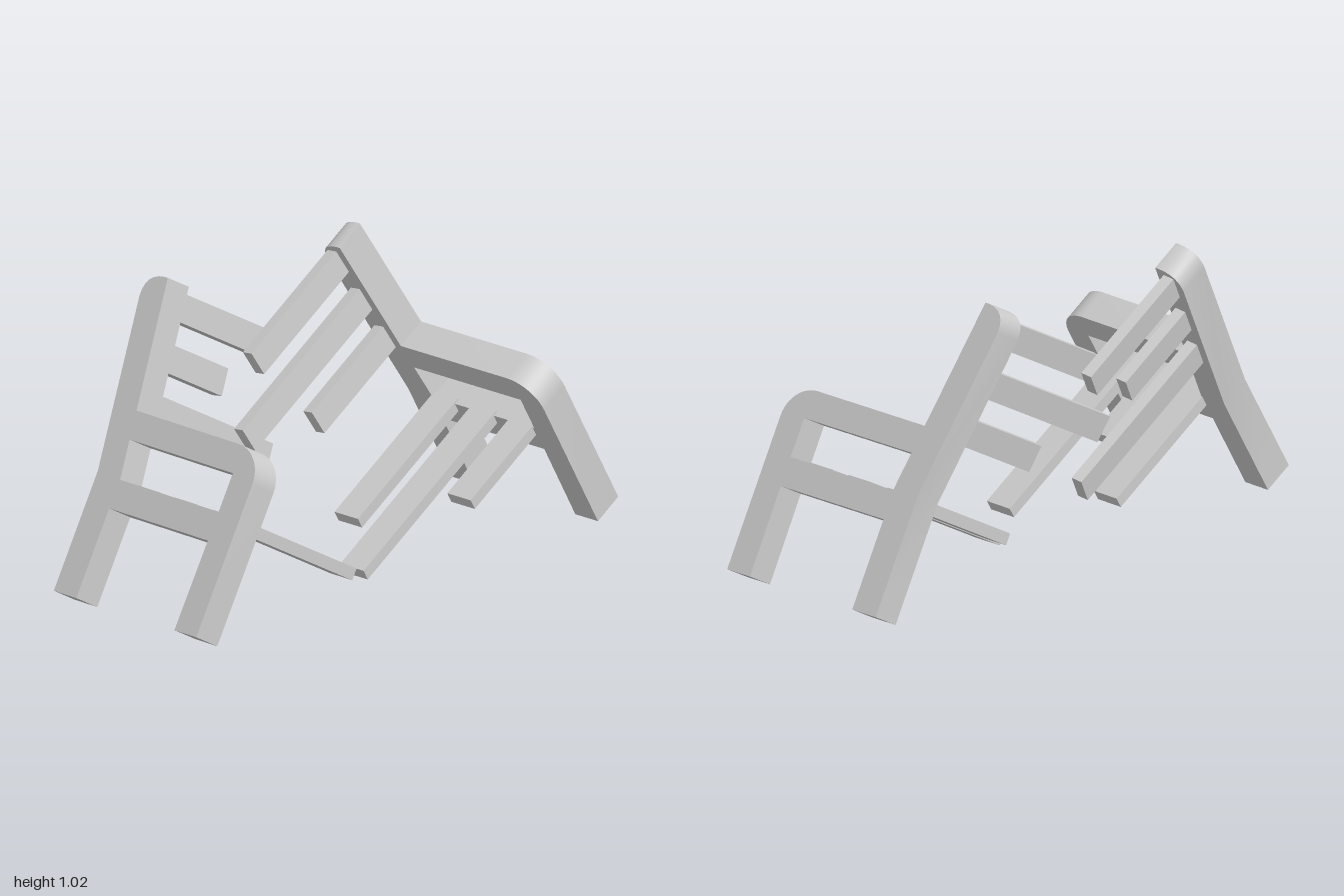
import * as THREE from 'three';
import { toCreasedNormals } from 'three/addons/utils/BufferGeometryUtils.js';

const DEPTH = 0.113;   // thickness of a side frame
const LEAN = 0.157;    // backward slope of the backrest
const SLAT_W = 0.1, SLAT_T = 0.04;
const rad = THREE.MathUtils.degToRad;
const material = new THREE.MeshStandardMaterial({ color: 0xcccccc });

// Side frame outline: legs, rounded armrest and leaning back post (z forward, y up)
function frameShape() {
  const s = new THREE.Shape();
  s.moveTo(0, 0);
  s.lineTo(0, 0.52);
  s.absarc(-0.111, 0.52, 0.111, 0, Math.PI / 2, false);
  s.lineTo(-0.5625, 0.631);
  s.lineTo(-0.631, 1.066);
  s.lineTo(-0.645, 1.066);
  s.quadraticCurveTo(-0.722, 1.06, -0.717, 0.985);
  s.lineTo(-0.628, 0.41);
  s.lineTo(-0.628, 0);
  s.lineTo(-0.529, 0);
  s.lineTo(-0.529, 0.306);
  s.lineTo(-0.094, 0.306);
  s.lineTo(-0.0965, 0);
  s.closePath();
  // Opening between armrest and seat rail
  const hole = new THREE.Path();
  hole.moveTo(-0.093, 0.404);
  hole.lineTo(-0.527, 0.404);
  hole.lineTo(-0.548, 0.536);
  hole.lineTo(-0.093, 0.536);
  hole.closePath();
  s.holes.push(hole);
  return s;
}

// One broken half: side is +1 (left) or -1 (right); lengths run from the outer face
function makeHalf(name, side, position, yaw, seatLengths, backLengths) {
  const half = new THREE.Group();
  half.name = name;
  half.position.set(...position);
  half.rotation.set(0, rad(yaw), side * rad(30));

  let geo = new THREE.ExtrudeGeometry(frameShape(), {
    depth: DEPTH, bevelEnabled: false, curveSegments: 6,
  });
  geo.rotateY(-Math.PI / 2);
  if (side < 0) geo.translate(DEPTH, 0, 0);
  geo = toCreasedNormals(geo, rad(35));
  const frame = new THREE.Mesh(geo, material);
  frame.name = 'sideFrame';
  half.add(frame);

  const start = DEPTH - 0.02;
  const addSlat = (slatName, length, h, d, y, z, tilt) => {
    const slat = new THREE.Mesh(new THREE.BoxGeometry(length - start, h, d), material);
    slat.name = slatName;
    slat.position.set(-side * (start + length) / 2, y, z);
    slat.rotation.x = tilt;
    half.add(slat);
  };
  // Seat slats, front to back
  seatLengths.forEach((len, i) =>
    addSlat('seatSlat', len, SLAT_T, SLAT_W, 0.39, -0.15 - 0.166 * i, 0));
  // Backrest slats, top to bottom
  backLengths.forEach((len, i) => {
    const y = 0.993 - 0.167 * i;
    addSlat('backSlat', len, 0.092, SLAT_T, y, -0.577 - LEAN * (y - 0.404), -Math.atan(LEAN));
  });
  return half;
}

export function createModel() {
  const model = new THREE.Group();
  model.name = 'brokenBench';
  model.add(
    makeHalf('leftHalf', 1, [1.0, 0.095, 0.09], 17.4, [0.455, 0.835, 0.65], [0.585, 0.765, 0.51]),
    makeHalf('rightHalf', -1, [-0.83, 0.095, 0.511], 15.4, [0.745, 0.37, 0.578], [0.56, 0.435, 0.74]),
  );
  return model;
}
